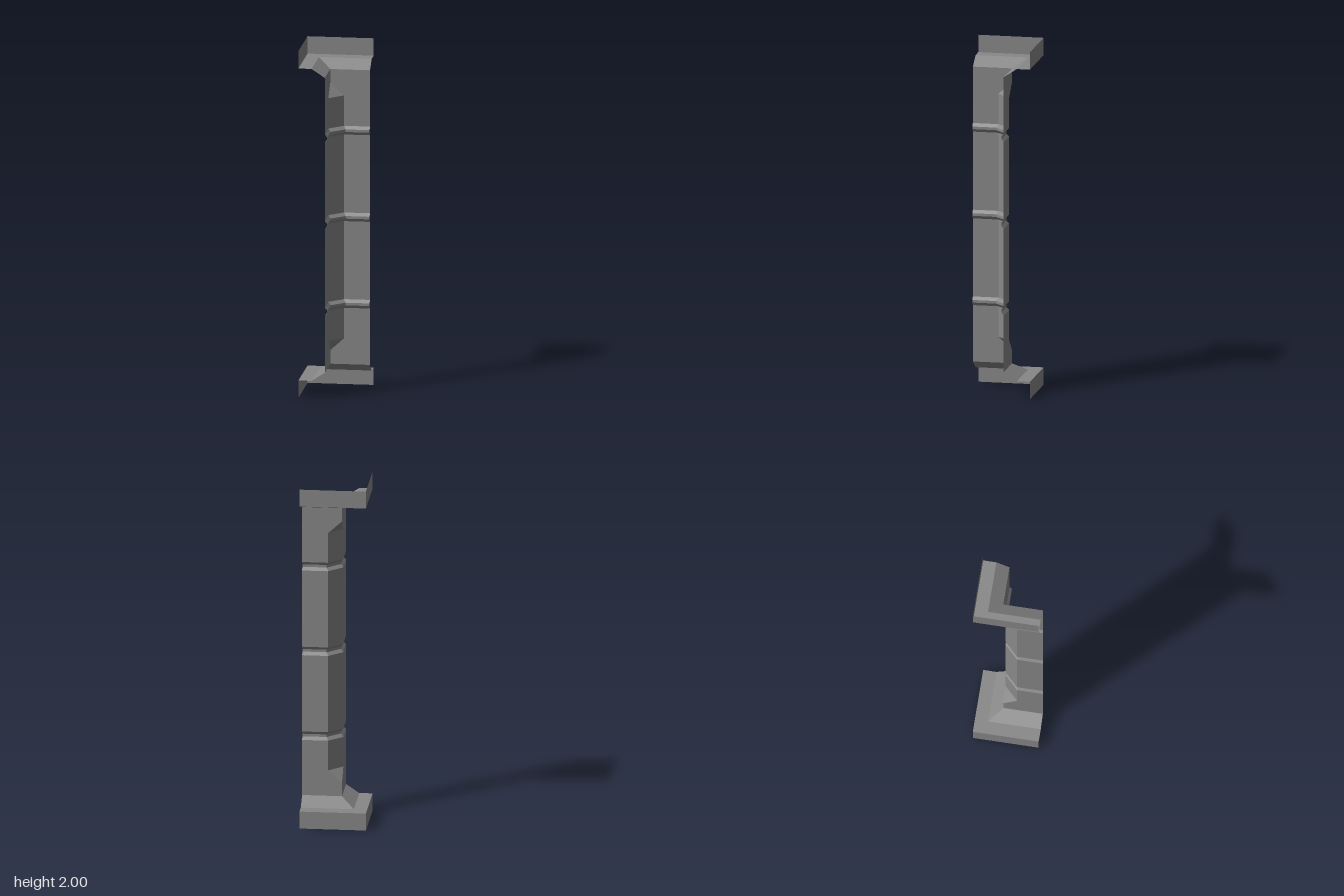
import * as THREE from 'three';

const END = 0.1875;   // open ends of both arms, and half width of the plinth
const FACE = -0.0375; // plane of the shaft faces
const CUT = 0.041;    // where the corner chamfer meets the faces

// A level of the corner section: height, face plane, chamfer start (equal to face = sharp corner)
const level = (y, face, cut = face) => ({ y, face, cut });

// Open L-shaped section, running from the +x end round the corner to the +z end
const section = ({ y, face, cut }) => [
  [END, face], [cut, face], [face, cut], [face, END],
].map(([x, z]) => new THREE.Vector3(x, y, z));

// Skin neighbouring levels with flat, outward-facing panels
function loft(name, levels, material) {
  const points = [];
  const triangle = (...corners) => {
    if (new THREE.Triangle(...corners).getArea() > 1e-8) points.push(...corners);
  };
  const rows = levels.map(section);
  for (let i = 0; i < rows.length - 1; i++) {
    for (let j = 0; j < 3; j++) {
      const [a, b, c, d] = [rows[i][j], rows[i][j + 1], rows[i + 1][j + 1], rows[i + 1][j]];
      triangle(a, b, c);
      triangle(a, c, d);
    }
  }
  const geometry = new THREE.BufferGeometry().setFromPoints(points);
  geometry.computeVertexNormals();
  const mesh = new THREE.Mesh(geometry, material);
  mesh.name = name;
  return mesh;
}

export function createModel() {
  const group = new THREE.Group();
  group.name = 'cornerColumn';
  // Dark grey stone
  const material = new THREE.MeshStandardMaterial({
    color: 0x888888, flatShading: true, side: THREE.DoubleSide,
  });

  // Plinth: upright band, flat ledge and slope up to the shaft
  const base = [
    level(0, -END), level(0.1, -END), level(0.1, -0.1125), level(0.15, FACE),
  ];
  // Capital: the plinth turned upside down
  const capital = base.map((l) => ({ ...l, y: 2 - l.y })).reverse();

  // Shaft: chamfered corner with pointed stops and three grooves
  const shaft = [level(0.15, FACE), level(0.228, FACE), level(0.3, FACE, CUT)];
  for (const y of [0.5, 1, 1.5]) {
    shaft.push(
      level(y - 0.025, FACE, CUT), level(y - 0.0075, -0.024, 0.05),
      level(y + 0.0075, -0.024, 0.05), level(y + 0.025, FACE, CUT),
    );
  }
  shaft.push(level(1.7, FACE, CUT), level(1.772, FACE), level(1.85, FACE));

  group.add(
    loft('base', base, material),
    loft('shaft', shaft, material),
    loft('capital', capital, material),
  );
  return group;
}
